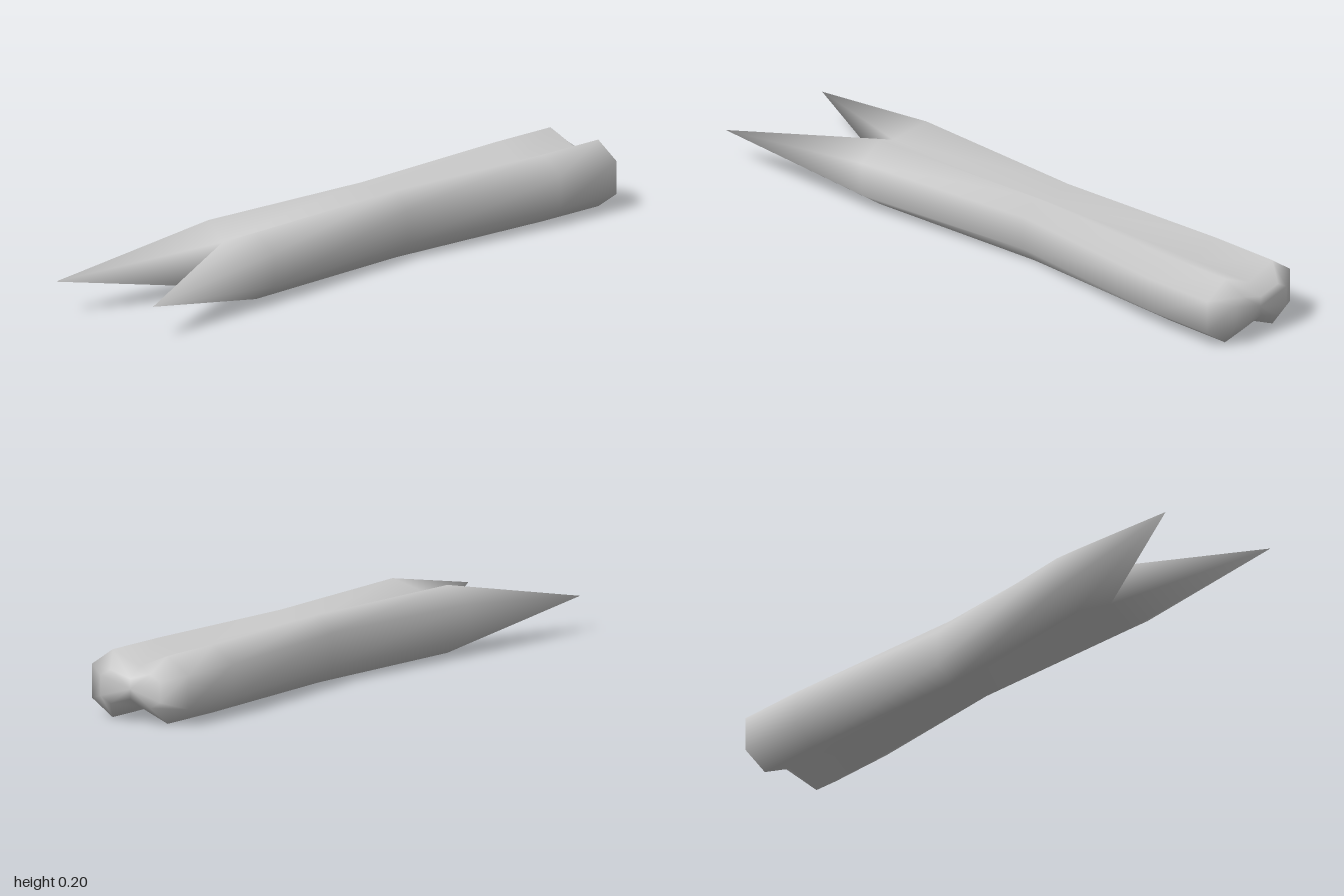
import * as THREE from 'three';

// Ten-point cross-section: two lobes joined by a groove above and below.
// w: outer half width, r: ridge offset, h: half height, s: half height of the
// outer side, g: half height at the groove, zg: z of the groove points
function section({ z, w, r, h = 0.1, s = 0.05, g = 0.06, zg = z }) {
  const half = [[0, -g, zg], [r, -h, z], [w, -s, z], [w, s, z], [r, h, z]];
  // The second half is the first turned by 180 degrees about the z axis
  return [...half, ...half.map(([x, y, d]) => [-x, -y, d])]
    .map(([x, y, d]) => [x, y + 0.1, d]);
}

export function createModel() {
  const group = new THREE.Group();
  group.name = 'forkedBar';

  // Sections from the back end, over the waist, to the root of the prongs
  const rings = [
    { z: -1, w: 0.105, r: 0.07, h: 0.05, s: 0.03, g: 0.03 },
    { z: -0.95, w: 0.17, r: 0.097 },
    { z: -0.72, w: 0.17, r: 0.097 },
    { z: -0.14, w: 0.115, r: 0.068 },
    { z: 0.47, w: 0.17, r: 0.097, zg: 0.51 },
  ].map(section);
  const n = 10;
  const points = rings.flat();
  const index = [];

  // Skin between sections
  for (let i = 0; i < rings.length - 1; i++) {
    for (let j = 0; j < n; j++) {
      const a = i * n + j, b = i * n + (j + 1) % n;
      index.push(a, b, a + n, b, b + n, a + n);
    }
  }

  // Back cap
  const cap = points.push([0, 0.1, -1]) - 1;
  for (let j = 0; j < n; j++) index.push(cap, (j + 1) % n, j);

  // Two pointed prongs, each closed on its inner side
  const front = (rings.length - 1) * n;
  for (const side of [1, -1]) {
    const tip = points.push([side * 0.197, 0.1, 1]) - 1;
    const start = side > 0 ? 0 : 5;
    for (let j = start; j < start + 5; j++) {
      index.push(front + j, front + (j + 1) % n, tip);
    }
    index.push(front + (start + 5) % n, front + start, tip);
  }

  const geometry = new THREE.BufferGeometry();
  geometry.setAttribute('position', new THREE.Float32BufferAttribute(points.flat(), 3));
  geometry.setIndex(index);
  geometry.computeVertexNormals();

  const bar = new THREE.Mesh(geometry, new THREE.MeshStandardMaterial({ color: 0xcccccc }));
  bar.name = 'barWithProngs';
  group.add(bar);
  return group;
}
